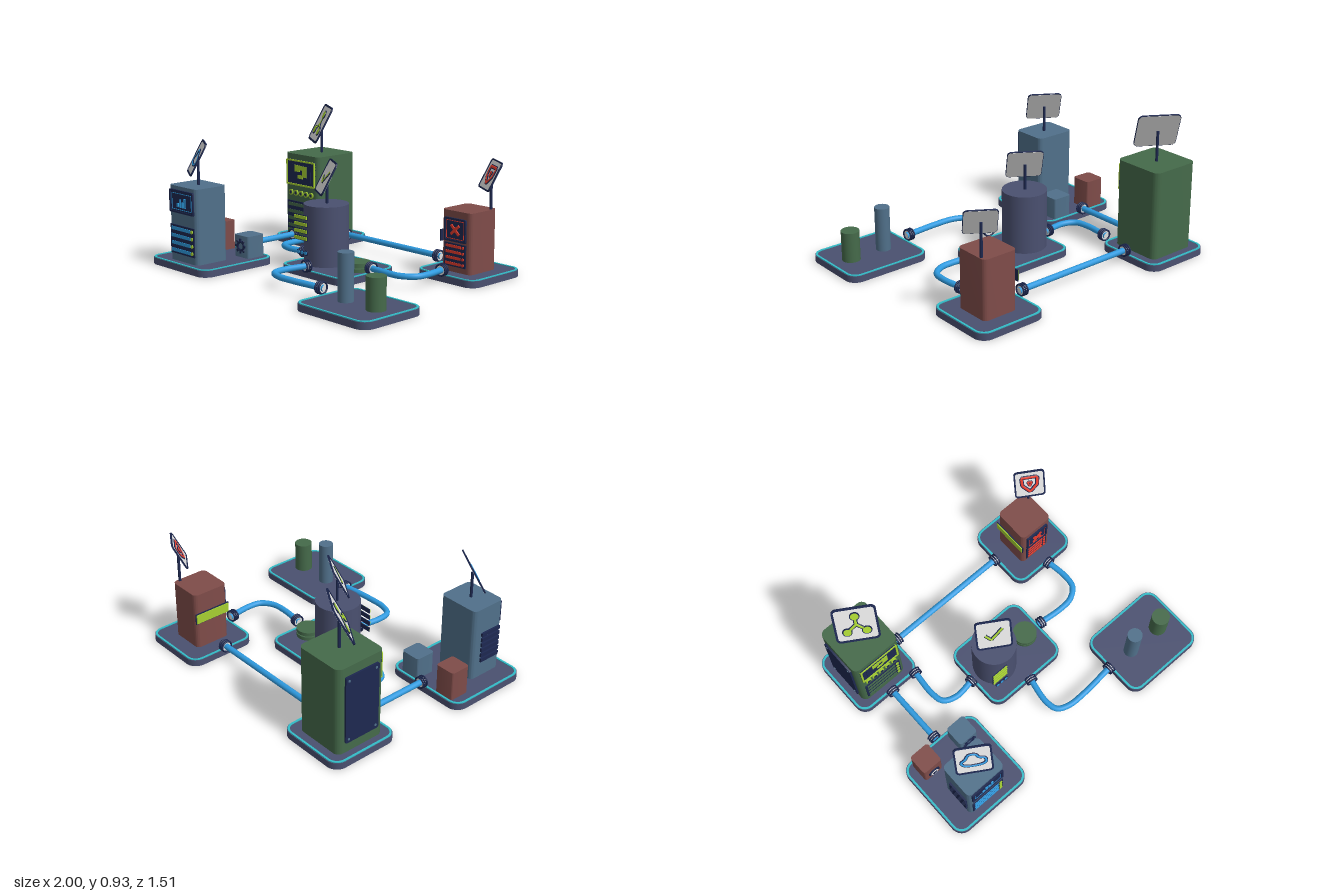
import * as THREE from 'three';
import { toCreasedNormals } from 'three/addons/utils/BufferGeometryUtils.js';

const colours = {
  indigo: 0x4a5070, green: 0x456a4a, brick: 0x7f4c49, slate: 0x50708a, pipeBlue: 0x2f9be0,
  teal: 0x33bcc8, navy: 0x1d2850, lime: 0xa6d032, alertRed: 0xe63c2c, white: 0xdedede,
};

export function createModel() {
  const mats = {};
  for (const [name, color] of Object.entries(colours)) {
    mats[name] = new THREE.MeshStandardMaterial({ color });
    mats[name].name = name;
  }
  const root = new THREE.Group();
  root.name = 'serverNetwork';

  function add(parent, name, geo, mat, x = 0, y = 0, z = 0) {
    const m = new THREE.Mesh(geo, mats[mat]);
    m.name = name;
    m.position.set(x, y, z);
    parent.add(m);
    return m;
  }
  function group(parent, name, x, y, z, ry = 0) {
    const g = new THREE.Group();
    g.name = name;
    g.position.set(x, y, z);
    g.rotation.y = ry;
    parent.add(g);
    return g;
  }
  function roundRect(w, d, r, Kind = THREE.Shape) {
    const s = new Kind(), a = w / 2, b = d / 2;
    s.moveTo(-a + r, -b);
    s.lineTo(a - r, -b); s.absarc(a - r, -b + r, r, -Math.PI / 2, 0);
    s.lineTo(a, b - r); s.absarc(a - r, b - r, r, 0, Math.PI / 2);
    s.lineTo(-a + r, b); s.absarc(-a + r, b - r, r, Math.PI / 2, Math.PI);
    s.lineTo(-a, -b + r); s.absarc(-a + r, -b + r, r, Math.PI, Math.PI * 1.5);
    return s;
  }
  // rounded slab or ring, extruded along z
  function slab(w, d, r, depth, border = 0) {
    const s = roundRect(w, d, r);
    if (border) s.holes.push(roundRect(w - 2 * border, d - 2 * border, Math.max(r - border, 0.002), THREE.Path));
    const g = new THREE.ExtrudeGeometry(s, { depth, bevelEnabled: false, curveSegments: 6 });
    return toCreasedNormals(g, 0.6);
  }
  const upright = (...a) => slab(...a).rotateX(-Math.PI / 2);
  const bar = (g, name, mat, x, y, w, h, z = 0, d = 0.008) =>
    add(g, name, new THREE.BoxGeometry(w, h, d), mat, x, y, z + d / 2);
  const dot = (g, name, mat, x, y, r, z = 0) =>
    add(g, name, new THREE.CylinderGeometry(r, r, 0.008, 16).rotateX(Math.PI / 2), mat, x, y, z + 0.004);
  // flat outlined line drawn on a plate
  function stroke(g, name, mat, pts, r, z, closed = false, smooth = false) {
    const v = pts.map(([x, y]) => new THREE.Vector3(x, y, 0));
    let path;
    if (smooth) path = new THREE.CatmullRomCurve3(v, closed);
    else {
      path = new THREE.CurvePath();
      const n = closed ? v.length : v.length - 1;
      for (let i = 0; i < n; i++) path.add(new THREE.LineCurve3(v[i], v[(i + 1) % v.length]));
    }
    for (const [m, k, dz] of [['navy', 1.7, 0], [mat, 1, 0.003]]) {
      const t = add(g, name, new THREE.TubeGeometry(path, 40, r * k, 6, closed), m, 0, 0, z + dz);
      t.scale.z = 0.003 / r;
    }
  }

  // platforms: centre x, centre z, width, depth
  [[-0.715, -0.525, 0.47, 0.47], [0.615, -0.525, 0.47, 0.47], [0, 0, 0.57, 0.47],
    [-0.715, 0.423, 0.57, 0.565], [0.715, 0.52, 0.57, 0.47]].forEach(([x, z, w, d]) => {
    const g = group(root, 'platform', x, 0, z);
    add(g, 'base', upright(w, d, 0.075, 0.042), 'indigo');
    add(g, 'glowTrim', upright(w - 0.008, d - 0.008, 0.071, 0.007, 0.013), 'teal', 0, 0.04);
  });

  // cabinets and cylinders
  const Y = 0.042;
  const box = (name, mat, x, z, w, d, top, r = 0.04) => add(root, name, upright(w, d, r, top - Y), mat, x, Y, z);
  const can = (name, mat, x, z, r, top, y = Y) =>
    add(root, name, new THREE.CylinderGeometry(r, r, top - y, 40), mat, x, (top + y) / 2, z);
  box('greenTower', 'green', -0.72, -0.52, 0.335, 0.34, 0.61);
  box('redTower', 'brick', 0.617, -0.52, 0.235, 0.24, 0.42, 0.03);
  box('slateTower', 'slate', -0.72, 0.522, 0.28, 0.24, 0.52, 0.03);
  box('smallRedBox', 'brick', -0.862, 0.232, 0.137, 0.137, 0.23, 0.018);
  box('smallSlateBox', 'slate', -0.573, 0.232, 0.137, 0.137, 0.183, 0.018);
  can('mainCylinder', 'indigo', -0.1, 0, 0.141, 0.42);
  can('slatePillar', 'slate', 0.615, 0.52, 0.047, 0.326);
  can('greenPillar', 'green', 0.853, 0.52, 0.057, 0.235);
  can('lowerDisc', 'green', 0.17, -0.01, 0.077, 0.066);
  can('discGap', 'green', 0.17, -0.01, 0.06, 0.074, 0.066);
  can('upperDisc', 'green', 0.17, -0.01, 0.077, 0.098, 0.074);

  // framed screen on a face
  function screen(g, mat, y, w, h) {
    add(g, 'screen', slab(w, h, 0.008, 0.006), 'navy', 0, y, 0);
    add(g, 'screenFrame', slab(w, h, 0.008, 0.012, 0.011), mat, 0, y, 0);
  }
  // stacked drive slots on a face
  function slots(g, mat, lamp, y0, step, n, w) {
    bar(g, 'slotPanel', 'navy', 0, y0 + step * (n - 1) / 2, w, step * n, 0, 0.006);
    for (let i = 0; i < n; i++) {
      bar(g, 'slot', mat, -0.012, y0 + i * step, w - 0.05, step * 0.45, 0.005, 0.005);
      dot(g, 'slotLamp', lamp, w / 2 - 0.02, y0 + i * step, step * 0.24, 0.004);
    }
  }

  // green tower front and side
  let f = group(root, 'greenTowerFront', -0.72, 0, -0.35);
  screen(f, 'lime', 0.485, 0.28, 0.175);
  bar(f, 'screenInset', 'navy', 0, 0.485, 0.2, 0.11, 0.005, 0.004);
  [[-0.03, 0.515, 0.05, 0.045], [0.025, 0.52, 0.07, 0.03], [0.04, 0.485, 0.04, 0.05],
    [0, 0.46, 0.05, 0.025]].forEach(([x, y, w, h]) => bar(f, 'screenIcon', 'lime', x, y, w, h, 0.006, 0.006));
  for (let i = 0; i < 5; i++) {
    dot(f, 'knobRim', 'lime', -0.1 + i * 0.05, 0.345, 0.02);
    dot(f, 'knob', 'navy', -0.1 + i * 0.05, 0.345, 0.011, 0.003);
  }
  slots(f, 'green', 'lime', 0.12, 0.048, 4, 0.27);
  f = group(root, 'greenTowerSide', -0.8875, 0, -0.52, -Math.PI / 2);
  add(f, 'sideDoor', slab(0.245, 0.44, 0.01, 0.012), 'navy', 0, 0.33, 0);
  for (const sx of [-1, 1]) for (const sy of [-1, 1]) dot(f, 'doorScrew', 'slate', sx * 0.1, 0.33 + sy * 0.195, 0.008, 0.007);

  // slate tower front and side
  f = group(root, 'slateTowerFront', -0.72, 0, 0.642);
  screen(f, 'navy', 0.425, 0.24, 0.145);
  add(f, 'screenLine', slab(0.2, 0.105, 0.006, 0.008, 0.004), 'pipeBlue', 0, 0.425);
  [0.025, 0.05, 0.035, 0.06].forEach((h, i) => bar(f, 'chartBar', 'pipeBlue', -0.035 + i * 0.023, 0.39 + h / 2, 0.016, h, 0.005, 0.007));
  slots(f, 'pipeBlue', 'lime', 0.112, 0.046, 4, 0.24);
  f = group(root, 'slateTowerSide', -0.86, 0, 0.522, -Math.PI / 2);
  for (let i = 0; i < 6; i++) bar(f, 'vent', 'navy', 0.02, 0.16 + i * 0.036, 0.15, 0.024, 0, 0.012);

  // red tower front and side
  f = group(root, 'redTowerFront', 0.615, 0, -0.4);
  screen(f, 'navy', 0.305, 0.17, 0.145);
  add(f, 'screenLine', slab(0.14, 0.115, 0.006, 0.008, 0.004), 'alertRed', 0, 0.305);
  for (const s of [-1, 1]) bar(f, 'crossIcon', 'alertRed', 0, 0.305, 0.085, 0.016, 0.005, 0.008).rotation.z = s * 0.75;
  slots(f, 'alertRed', 'alertRed', 0.095, 0.036, 4, 0.17);
  f = group(root, 'redTowerSide', 0.4995, 0, -0.52, -Math.PI / 2);
  bar(f, 'bandBacking', 'navy', 0, 0.255, 0.25, 0.072, 0, 0.006);
  bar(f, 'limeBand', 'lime', 0, 0.255, 0.24, 0.06, 0.005, 0.007);

  // main cylinder bars and lamps
  f = group(root, 'cylinderFront', -0.177, 0, 0.138);
  for (let i = 0; i < 4; i++) {
    bar(f, 'barBacking', 'navy', 0, 0.21 + i * 0.044, 0.118, 0.03, 0, 0.005);
    bar(f, 'limeBar', 'lime', 0, 0.21 + i * 0.044, 0.112, 0.02, 0.004, 0.007);
  }
  for (let i = 0; i < 3; i++) {
    dot(f, 'lampRim', 'navy', -0.02 + i * 0.033, 0.12, 0.017);
    dot(f, 'lamp', 'pipeBlue', -0.02 + i * 0.033, 0.12, 0.012, 0.003);
  }

  // gear and dial on the small boxes
  f = group(root, 'gear', -0.573, 0.115, 0.3);
  add(f, 'gearRing', new THREE.TorusGeometry(0.028, 0.009, 8, 24), 'navy').scale.z = 0.8;
  for (let i = 0; i < 8; i++) {
    const a = i * Math.PI / 4;
    bar(f, 'gearTooth', 'navy', Math.cos(a) * 0.04, Math.sin(a) * 0.04, 0.016, 0.014).rotation.z = a;
  }
  f = group(root, 'dial', -0.862, 0.12, 0.3);
  dot(f, 'dialRim', 'navy', 0, 0, 0.04);
  dot(f, 'dialFace', 'white', 0, 0, 0.028, 0.003);
  dot(f, 'dialHub', 'navy', 0, 0, 0.015, 0.005);

  // tilted signs on poles
  function sign(name, x, y, z, size, poleBase) {
    add(root, name + 'Pole', new THREE.CylinderGeometry(0.009, 0.009, y - poleBase, 12), 'navy', x, (y + poleBase) / 2, z - 0.006);
    const g = group(root, name, x, y, z);
    g.rotation.set(-0.475, -0.56, 0, 'YXZ');
    add(g, 'signPlate', slab(size - 0.006, size - 0.006, size * 0.11, 0.006), 'white', 0, 0, -0.003);
    add(g, 'signFrame', slab(size, size, size * 0.12, 0.009, size * 0.05), 'navy', 0, 0, -0.002);
    return g;
  }
  const sized = (pts, s) => pts.map(([x, y]) => [x * s, y * s]);

  let s = sign('linkSign', -0.712, 0.805, -0.523, 0.265, 0.61);
  for (const p of sized([[0, 0.24], [-0.22, -0.2], [0.22, -0.2]], 0.265)) {
    stroke(s, 'linkArm', 'lime', [[0, 0], p], 0.009, 0.004);
    dot(s, 'linkNodeRim', 'navy', p[0], p[1], 0.031, 0.001);
    dot(s, 'linkNode', 'lime', p[0], p[1], 0.025, 0.003);
  }
  s = sign('cloudSign', -0.715, 0.69, 0.523, 0.225, 0.52);
  stroke(s, 'cloud', 'pipeBlue', sized([[-0.25, -0.18], [-0.33, -0.06], [-0.22, 0.04], [-0.12, 0.2], [0.06, 0.2],
    [0.15, 0.08], [0.3, 0.03], [0.32, -0.12], [0.22, -0.19]], 0.225), 0.007, 0.004, true, true);
  s = sign('checkSign', -0.1, 0.583, 0, 0.225, 0.42);
  stroke(s, 'checkMark', 'lime', sized([[-0.24, 0], [-0.08, -0.17], [0.25, 0.2]], 0.225), 0.008, 0.004);
  s = sign('shieldSign', 0.72, 0.63, -0.59, 0.195, 0.42);
  stroke(s, 'shield', 'alertRed', sized([[-0.26, 0.26], [0.26, 0.26], [0.24, -0.04], [0, -0.3], [-0.24, -0.04]], 0.195), 0.009, 0.004, true);
  stroke(s, 'shieldMark', 'alertRed', sized([[-0.07, 0.08], [0.08, 0.08], [0, -0.08]], 0.195), 0.006, 0.004, true);

  // pipes with ringed collars at both ends
  const axis = new THREE.Vector3(0, 0, 1);
  [[[-0.49, -0.525], [0.39, -0.525]],
    [[-0.715, -0.3], [-0.715, 0.15]],
    [[-0.527, -0.3], [-0.54, -0.1], [-0.52, -0.02], [-0.44, 0.018], [-0.275, 0]],
    [[0.615, -0.3], [0.635, -0.13], [0.62, -0.045], [0.55, 0.008], [0.46, 0.018], [0.275, 0]],
    [[-0.005, 0.225], [-0.035, 0.42], [-0.015, 0.5], [0.06, 0.535], [0.17, 0.54], [0.44, 0.52]],
  ].forEach((pts) => {
    const curve = new THREE.CatmullRomCurve3(pts.map(([x, z]) => new THREE.Vector3(x, 0.08, z)));
    const g = group(root, 'pipe', 0, 0, 0);
    add(g, 'tube', new THREE.TubeGeometry(curve, 48, 0.019, 14), 'pipeBlue');
    const len = curve.getLength();
    for (const end of [0, 1]) {
      const u = Math.abs(end - 0.025 / len);
      const p = curve.getPointAt(u);
      const c = group(g, 'collar', p.x, p.y, p.z);
      c.quaternion.setFromUnitVectors(axis, curve.getTangentAt(u).multiplyScalar(end ? -1 : 1));
      add(c, 'collarDisc', new THREE.CylinderGeometry(0.03, 0.03, 0.024, 20).rotateX(Math.PI / 2), 'white');
      for (const o of [-0.015, 0, 0.015]) add(c, 'collarRing', new THREE.TorusGeometry(0.034, 0.0055, 8, 24), 'navy', 0, 0, o);
    }
  });
  return root;
}
